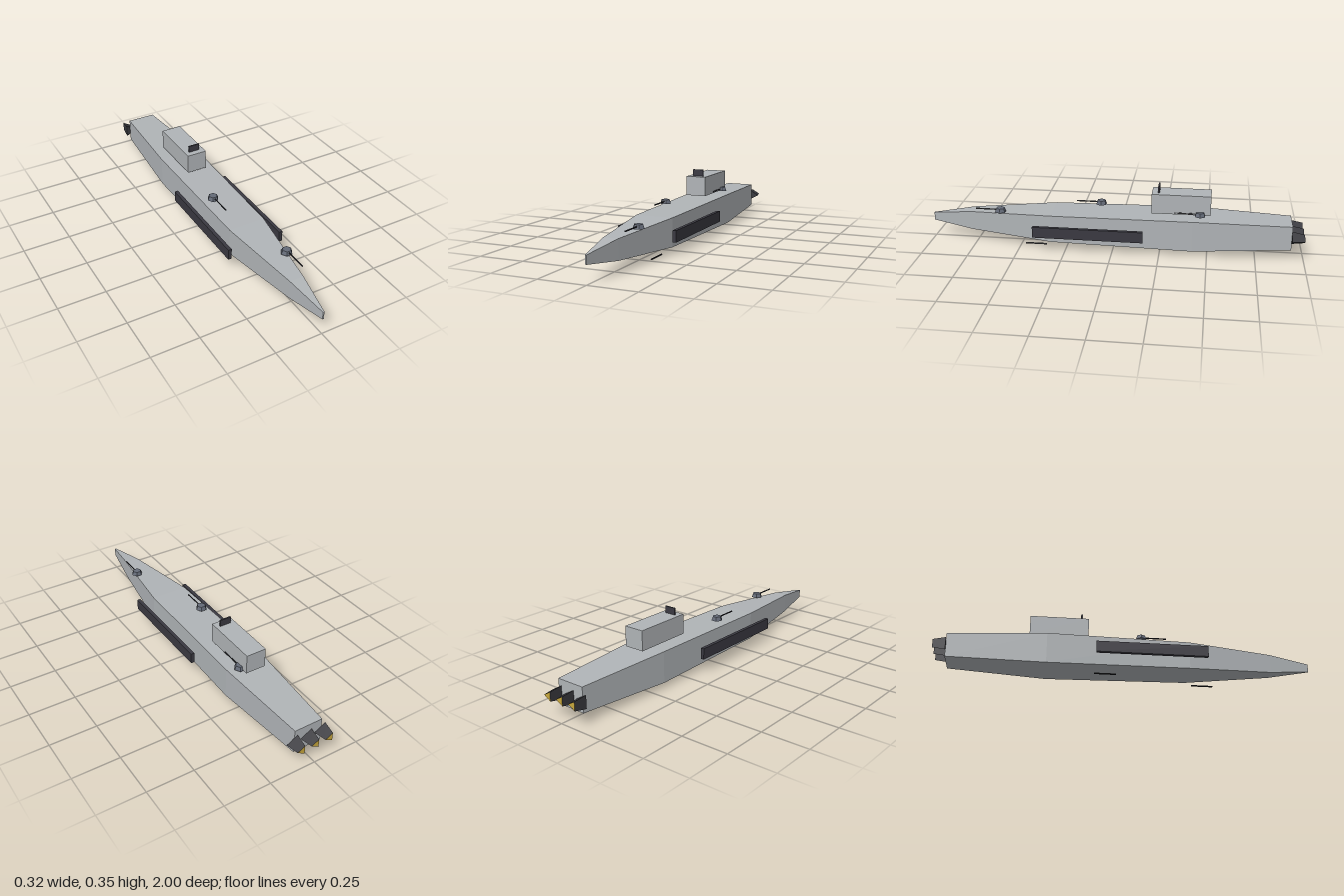
import * as THREE from 'three';

const mat = (name, color) => {
  const m = new THREE.MeshStandardMaterial({ color, flatShading: true });
  m.name = name;
  return m;
};

export function createModel() {
  const ship = new THREE.Group();
  ship.name = 'warship';
  const hullGrey = mat('hullGrey', 0xb0b4b7);
  const charcoal = mat('charcoal', 0x3a3941);
  const turretGrey = mat('turretGrey', 0x646a77);
  const barrelBlack = mat('barrelBlack', 0x26262b);
  const nozzleDark = mat('nozzleDark', 0x37373c);
  const glowGold = mat('glowGold', 0xc9a83c);

  const add = (parent, name, geometry, material, x = 0, y = 0, z = 0) => {
    const mesh = new THREE.Mesh(geometry, material);
    mesh.name = name;
    mesh.position.set(x, y, z);
    parent.add(mesh);
    return mesh;
  };
  // Cylinder lying along z, with a corner towards +x
  const rod = (front, back, length, sides) =>
    new THREE.CylinderGeometry(front, back, length, sides, 1, false, Math.PI / 2).rotateX(Math.PI / 2);

  // Hull: rectangular sections [z, half width, bottom, top] from bow to stern
  const sections = [
    [1, 0.004, 0.092, 0.135],
    [0.78, 0.038, 0.063, 0.165],
    [0.33, 0.1, 0.038, 0.187],
    [-0.42, 0.111, 0.03, 0.196],
    [-0.935, 0.078, 0.052, 0.182],
  ].map(([z, w, b, t]) => [[w, b, z], [w, t, z], [-w, t, z], [-w, b, z]]);
  const points = [];
  const quad = (a, b, c, d) => points.push(...a, ...b, ...c, ...a, ...c, ...d);
  for (let s = 0; s < sections.length - 1; s++) {
    const a = sections[s], b = sections[s + 1];
    for (let i = 0; i < 4; i++) {
      const j = (i + 1) % 4;
      quad(a[i], b[i], b[j], a[j]);
    }
  }
  quad(...sections[0]);
  quad(...[...sections[sections.length - 1]].reverse());
  const hull = new THREE.BufferGeometry();
  hull.setAttribute('position', new THREE.Float32BufferAttribute(points, 3));
  hull.computeVertexNormals();
  add(ship, 'hull', hull, hullGrey);

  // Command tower and the sensor plate on its roof
  add(ship, 'tower', new THREE.BoxGeometry(0.11, 0.106, 0.31), hullGrey, 0, 0.266, -0.357);
  add(ship, 'sensorPlate', new THREE.BoxGeometry(0.062, 0.036, 0.008), charcoal, 0, 0.337, -0.238);

  // Armour panels floating beside the hull
  for (const side of [1, -1]) {
    add(ship, 'sidePanel', new THREE.BoxGeometry(0.019, 0.059, 0.584), charcoal, side * 0.149, 0.1135, 0.126);
  }

  // Deck turrets, alternating sides
  for (const [x, y, z] of [[0.055, 0.192, 0.61], [-0.055, 0.22, 0.077], [0.055, 0.22, -0.457]]) {
    const turret = new THREE.Group();
    turret.name = 'turret';
    turret.position.set(x, y, z);
    add(turret, 'turretBase', new THREE.CylinderGeometry(0.023, 0.031, 0.021, 6, 1, false, Math.PI / 2), turretGrey);
    add(turret, 'turretBarrel', rod(0.0035, 0.0035, 0.13, 6), barrelBlack, 0, 0.001, 0.07);
    ship.add(turret);
  }

  // Rods hanging below the keel
  for (const [x, z] of [[0.055, 0.42], [-0.055, -0.112]]) {
    add(ship, 'keelGun', rod(0.004, 0.004, 0.115, 6), barrelBlack, x, 0.0045, z);
  }

  // Three-sided engine nozzles with a glowing rear face
  for (const x of [-0.08, 0, 0.08]) {
    add(ship, 'engine', rod(0.04, 0.027, 0.066, 3), [nozzleDark, nozzleDark, glowGold], x, 0.115, -0.967);
  }
  return ship;
}
